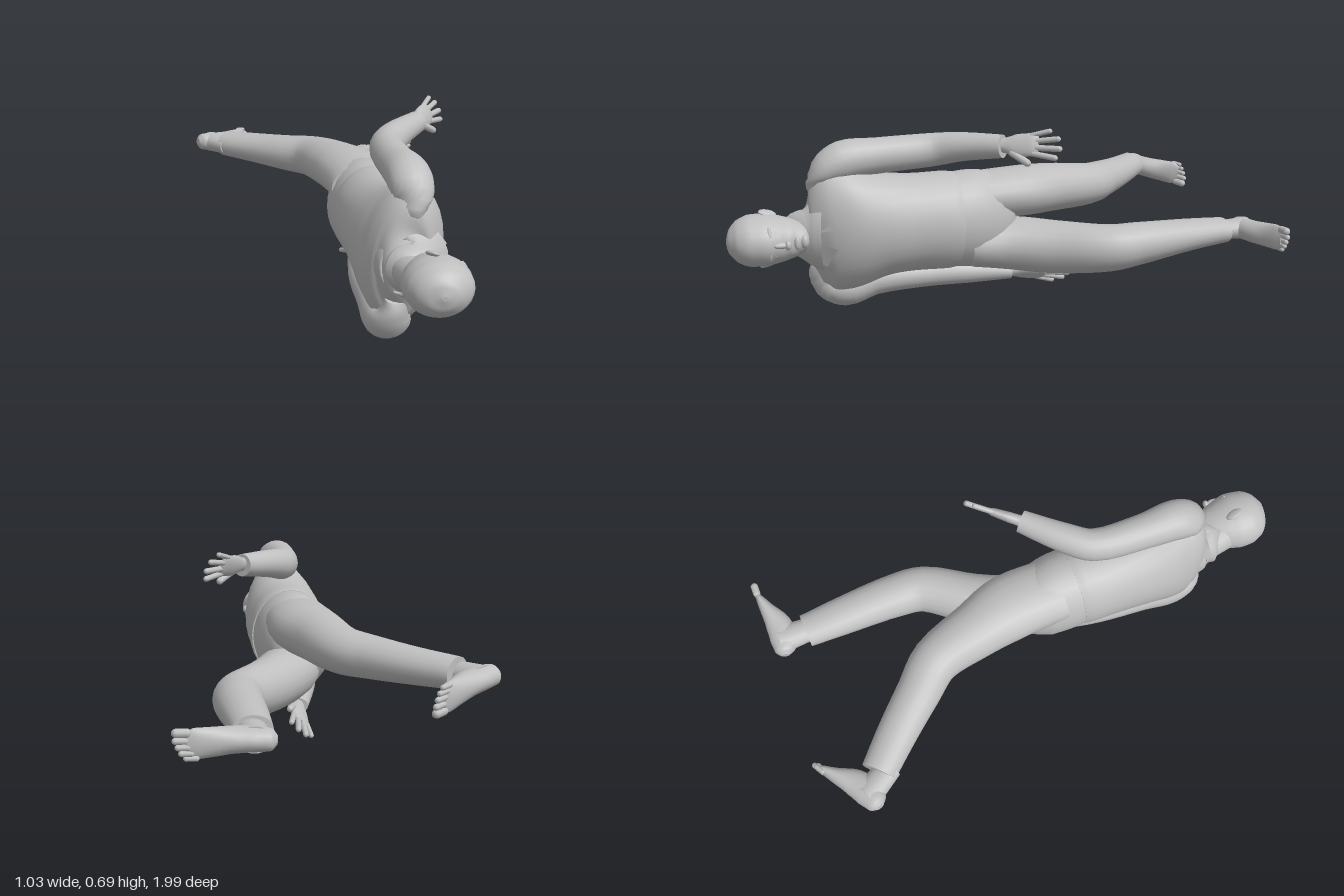
import * as THREE from 'three';

const V = (x, y, z) => new THREE.Vector3(x, y, z);

// Smooth tube through sections [x, y, z, halfAcross, halfHeight, tilt]
function loft(sections, { sides = 20, sub = 4, caps = true } = {}) {
  const path = new THREE.CatmullRomCurve3(sections.map(s => V(s[0], s[1], s[2])));
  const size = new THREE.CatmullRomCurve3(sections.map(s => V(s[3], s[4], s[5] || 0)));
  const n = (sections.length - 1) * sub;
  const pos = [], index = [], ring = [];
  for (let i = 0; i <= n; i++) {
    const c = path.getPoint(i / n), r = size.getPoint(i / n);
    const t = path.getTangent(i / n);
    const side = V(0, 1, 0).cross(t).normalize();
    const up = t.clone().cross(side).normalize();
    side.applyAxisAngle(t, -r.z);
    up.applyAxisAngle(t, -r.z);
    for (let j = 0; j < sides; j++) {
      const a = j / sides * Math.PI * 2;
      const p = c.clone().addScaledVector(side, r.x * Math.cos(a)).addScaledVector(up, r.y * Math.sin(a));
      pos.push(p.x, p.y, p.z);
    }
    ring.push(c);
  }
  for (let i = 0; i < n; i++) {
    for (let j = 0; j < sides; j++) {
      const k = (j + 1) % sides, a = i * sides + j, b = i * sides + k;
      index.push(a, b, b + sides, a, b + sides, a + sides);
    }
  }
  if (caps) {
    // End caps keep their own vertices so hems stay crisp
    for (const [i, flip] of [[0, true], [n, false]]) {
      const base = pos.length / 3;
      pos.push(...pos.slice(i * sides * 3, (i + 1) * sides * 3), ring[i].x, ring[i].y, ring[i].z);
      for (let j = 0; j < sides; j++) {
        const a = base + j, b = base + (j + 1) % sides;
        index.push(base + sides, flip ? b : a, flip ? a : b);
      }
    }
  }
  const g = new THREE.BufferGeometry();
  g.setAttribute('position', new THREE.Float32BufferAttribute(pos, 3));
  g.setIndex(index);
  g.computeVertexNormals();
  return g;
}

export function createModel() {
  const model = new THREE.Group();
  model.name = 'recliningWalkingMan';
  const grey = new THREE.MeshStandardMaterial({ color: 0xbfbfbf, side: THREE.DoubleSide });
  grey.name = 'plainGrey';

  const add = (parent, name, geometry) => {
    const m = new THREE.Mesh(geometry, grey);
    m.name = name;
    parent.add(m);
    return m;
  };
  const blob = (parent, name, x, y, z, rx, ry, rz) => {
    const m = add(parent, name, new THREE.SphereGeometry(1, 14, 10));
    m.position.set(x, y, z);
    m.scale.set(rx, ry, rz);
    return m;
  };
  // Capsule starting at a point, lying along z and turned sideways
  const digit = (parent, name, x, y, z, r, len, turn) => {
    const g = new THREE.CapsuleGeometry(r, len, 4, 10);
    g.rotateX(Math.PI / 2).translate(0, 0, len / 2);
    const m = add(parent, name, g);
    m.position.set(x, y, z);
    m.rotation.y = turn;
  };
  // Group whose z axis is forward and whose x axis is nearest to across
  const frame = (name, origin, forward, across) => {
    const g = new THREE.Group();
    g.name = name;
    const z = forward.clone().normalize();
    const x = across.clone().addScaledVector(z, -across.dot(z)).normalize();
    g.quaternion.setFromRotationMatrix(new THREE.Matrix4().makeBasis(x, z.clone().cross(x), z));
    g.position.copy(origin);
    model.add(g);
    return g;
  };

  // Shirt, hanging just over the trousers at the waist
  add(model, 'shirtBody', loft([
    [.036, .32, .16, .152, .18, -.03], [.036, .32, .19, .157, .184, -.02], [.032, .32, .32, .157, .183, .03],
    [.03, .32, .44, .16, .198, .1], [.024, .315, .55, .15, .236, .14], [.014, .315, .62, .128, .246, .14],
    [.006, .312, .665, .1, .21, .13], [0, .31, .692, .075, .13, .1], [0, .31, .715, .055, .065, .1]
  ], { sides: 28 }));
  // Sleeves start inside the shirt so the shoulders run on smoothly
  add(model, 'leftSleeve', loft([
    [.03, .45, .655, .05, .035], [.042, .535, .642, .07, .055], [.046, .57, .575, .076, .072],
    [.044, .58, .45, .066, .066], [.06, .592, .25, .06, .062], [.12, .608, .16, .055, .054],
    [.235, .622, .035, .042, .042]
  ]));
  add(model, 'rightSleeve', loft([
    [-.01, .18, .65, .05, .035], [-.024, .1, .63, .072, .058], [-.028, .08, .565, .078, .074],
    [-.03, .098, .45, .066, .062], [-.02, .1, .25, .056, .05], [.005, .1, .1, .05, .045],
    [.035, .095, -.07, .038, .03]
  ]));

  // Collar with two pointed lapels
  add(model, 'collar', loft([
    [.03, .305, .645, .132, .142], [.02, .305, .68, .114, .124],
    [.008, .307, .722, .083, .087], [.005, .307, .69, .07, .074]
  ], { sides: 24, caps: false }));
  for (const s of [-1, 1]) {
    const g = new THREE.BufferGeometry().setFromPoints([
      V(.092, .307 + s * .015, .70), V(.168, .31 + s * .035, .625),
      V(.118, .307 + s * .105, .655), V(.07, .307 + s * .075, .715)
    ]);
    g.setIndex(s > 0 ? [0, 1, 2, 0, 2, 3] : [0, 2, 1, 0, 3, 2]);
    g.computeVertexNormals();
    add(model, s > 0 ? 'leftLapel' : 'rightLapel', g);
  }

  // Trousers
  add(model, 'trouserSeat', loft([
    [.02, .315, -.09, .035, .04], [.02, .315, -.05, .1, .12], [.025, .315, .02, .135, .178],
    [.032, .318, .1, .148, .185], [.035, .32, .19, .149, .176]
  ], { sides: 28 }));
  add(model, 'leftTrouserLeg', loft([
    [.02, .40, .09, .125, .09], [.015, .405, -.1, .13, .095], [-.02, .402, -.25, .11, .093],
    [-.072, .392, -.43, .092, .082], [-.16, .387, -.53, .083, .073],
    [-.27, .385, -.65, .075, .062], [-.385, .385, -.765, .066, .053]
  ]));
  add(model, 'rightTrouserLeg', loft([
    [.045, .225, .09, .125, .09], [.08, .22, -.05, .118, .1], [.168, .213, -.2, .1, .1],
    [.278, .222, -.37, .09, .088], [.29, .232, -.48, .086, .08],
    [.282, .246, -.7, .076, .06], [.275, .25, -.853, .066, .048]
  ]));

  // Head, facing +x with the crown toward +z
  add(model, 'neck', loft([
    [-.012, .31, .62, .064, .068], [.002, .308, .72, .062, .062], [.025, .305, .82, .068, .064]
  ]));
  add(model, 'head', loft([
    [.108, .305, .712, .012, .014], [.104, .305, .722, .036, .036], [.086, .305, .75, .07, .06],
    [.07, .305, .785, .091, .075], [.06, .305, .825, .105, .086], [.055, .305, .87, .114, .093],
    [.05, .305, .92, .109, .091], [.045, .305, .96, .087, .073],
    [.042, .305, .986, .05, .043], [.04, .305, .996, .008, .008]
  ], { sides: 28 }));
  blob(model, 'noseBridge', .156, .305, .816, .014, .011, .032).rotation.y = .2;
  blob(model, 'noseTip', .161, .305, .797, .014, .017, .011);
  blob(model, 'lips', .143, .305, .762, .011, .024, .011);
  blob(model, 'chin', .126, .305, .734, .019, .026, .016);
  for (const s of [-1, 1]) {
    const side = s > 0 ? 'left' : 'right';
    blob(model, side + 'Brow', .146, .305 + s * .036, .858, .013, .03, .009).rotation.z = s * .35;
    blob(model, side + 'Eye', .143, .305 + s * .036, .838, .009, .015, .008).rotation.z = s * .35;
    const ear = blob(model, side + 'Ear', .045, .305 + s * .093, .85, .02, .009, .034);
    ear.rotation.set(s * -.25, .15, s * -.35);
  }

  // Hands: index finger on the local +x side
  const hand = (side, wrist, forward, across, extra, thumbTurn) => {
    const g = frame(side + 'Hand', wrist, forward, across);
    add(g, side + 'Palm', loft([
      [0, 0, -.04, .027, .024], [0, 0, .01, .027, .021], [.002, 0, .06, .042, .019],
      [0, 0, .115, .042, .015], [0, 0, .14, .03, .008]
    ], { sides: 16 }));
    [[-.034, .06, .0095], [-.012, .083, .0105], [.011, .09, .011], [.033, .077, .0105]].forEach(([x, len, r], i) =>
      digit(g, side + 'Finger' + (i + 1), x, 0, x < -.03 ? .114 : .122, r, len + extra, x * 6));
    digit(g, side + 'Thumb', .03, -.004, .045, .013, .07, thumbTurn);
  };
  hand('left', V(.23, .625, .04), V(.64, .08, -.77), V(.4, -.9, .1), .006, .55);
  hand('right', V(.035, .095, -.07), V(.06, -.16, -1), V(.65, .6, 0), .015, .35);

  // Feet: heel at the local origin, sole at local y = 0
  const foot = (side, s, heel, forward) => {
    const g = frame(side + 'Foot', heel, forward, V(0, 1, 0));
    add(g, side + 'FootBody', loft([
      [0, .038, -.004, .014, .016], [0, .041, .012, .033, .037], [0, .054, .065, .039, .054],
      [0, .05, .13, .041, .049], [0, .031, .195, .046, .03],
      [0, .018, .245, .048, .017], [0, .013, .268, .036, .009]
    ]));
    // Ankle column rising into the trouser leg, longer front to back than across
    const ankle = add(g, side + 'Ankle', new THREE.CylinderGeometry(.046, .056, .13, 18));
    ankle.position.set(0, .105, .063);
    ankle.scale.x = .75;
    [[.034, .0145, .265], [.011, .0105, .268], [-.009, .0098, .26], [-.027, .0092, .25], [-.042, .009, .236]]
      .forEach(([x, r, z], i) => digit(g, side + 'Toe' + (i + 1), s * x, r, z, r, .03, 0));
  };
  foot('left', -1, V(-.522, .39, -.836), V(.85, -.14, -.5));
  foot('right', 1, V(.214, .25, -.994), V(1, .02, 0));

  return model;
}
